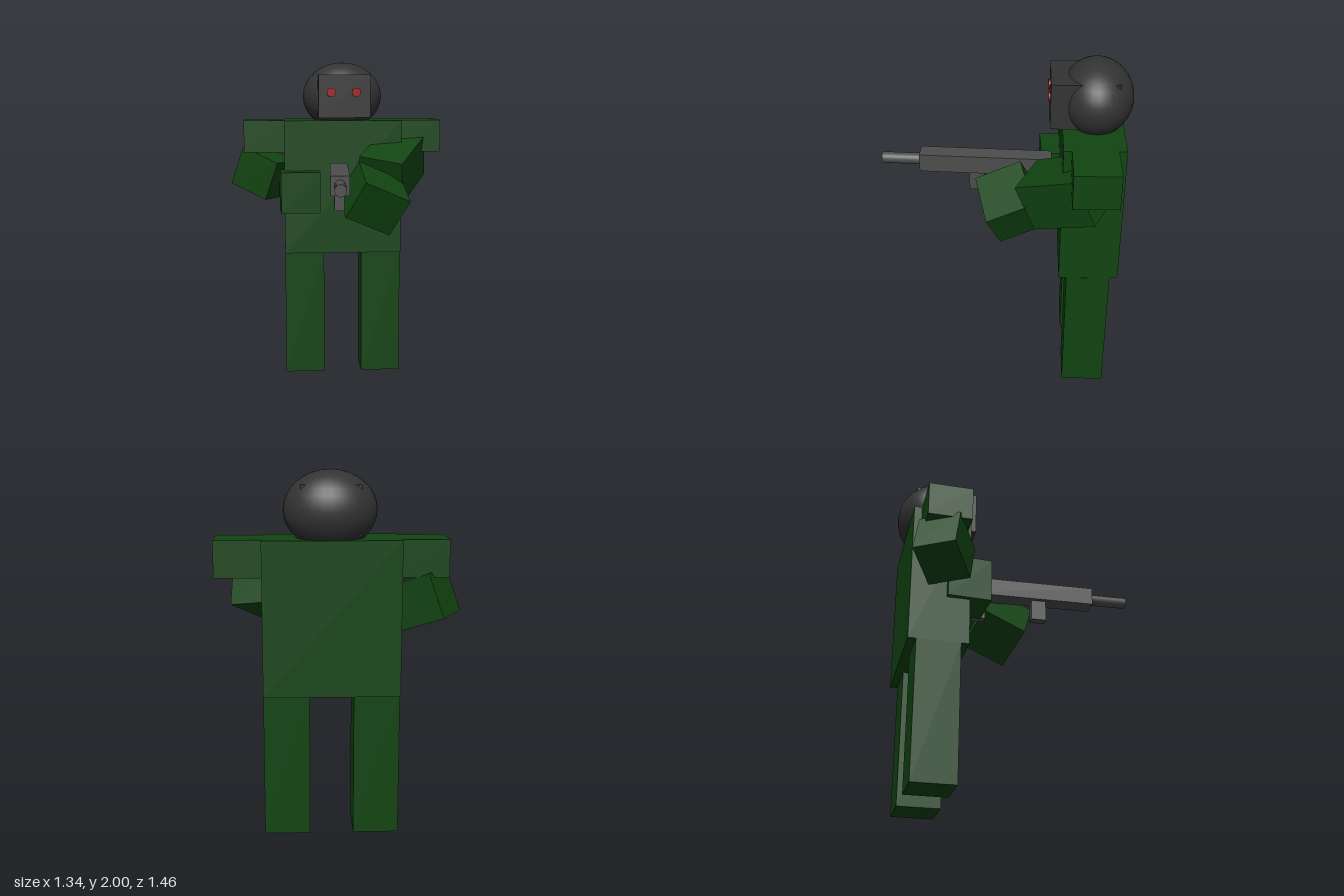
import * as THREE from 'three';

function mat(name, color) {
  const m = new THREE.MeshStandardMaterial({ color });
  m.name = name;
  return m;
}

export function createModel() {
  const green = mat('dark green', 0x114411);
  const black = mat('charcoal', 0x333333);
  const grey = mat('gun grey', 0x4d4d4d);
  const red = mat('eye red', 0x990f0f);

  const model = new THREE.Group();
  model.name = 'armedFigure';

  function add(parent, name, geometry, material, x, y, z) {
    const mesh = new THREE.Mesh(geometry, material);
    mesh.name = name;
    mesh.position.set(x, y, z);
    parent.add(mesh);
    return mesh;
  }
  function box(parent, name, [w, h, d], material, x, y, z) {
    return add(parent, name, new THREE.BoxGeometry(w, h, d), material, x, y, z);
  }
  // Turn a box so its length follows `forward` and its top faces `up`
  function aim(mesh, forward, up) {
    const z = new THREE.Vector3(...forward).normalize();
    const x = new THREE.Vector3(...up).cross(z).normalize();
    const y = z.clone().cross(x);
    mesh.quaternion.setFromRotationMatrix(new THREE.Matrix4().makeBasis(x, y, z));
  }

  // Body, slightly turned to its right
  const body = new THREE.Group();
  body.name = 'body';
  body.position.set(0.0375, 0, -0.478);
  body.rotation.y = -0.088;
  model.add(body);

  box(body, 'torso', [0.738, 0.84, 0.34], green, 0, 1.22, 0);
  for (const [side, s] of [['left', 1], ['right', -1]]) {
    box(body, side + 'Leg', [0.25, 0.8, 0.25], green, s * 0.245, 0.4, 0);
    box(body, side + 'Shoulder', [0.28, 0.2, 0.25], green, s * 0.481, 1.54, 0);
  }

  // Head with a boxy mask and round eyes
  const head = new THREE.Group();
  head.name = 'head';
  head.position.set(0.005, 1.788, -0.015);
  body.add(head);
  const skull = add(head, 'skull', new THREE.SphereGeometry(1, 32, 16), black, 0, 0, 0);
  skull.scale.set(0.251, 0.212, 0.206);
  box(head, 'mask', [0.32, 0.263, 0.37], black, -0.001, 0.004, 0.07);
  for (const s of [1, -1]) {
    const eye = add(head, s > 0 ? 'leftEye' : 'rightEye',
      new THREE.CylinderGeometry(0.028, 0.028, 0.02, 20), red, -0.005 + s * 0.077, 0.027, 0.256);
    eye.rotation.x = Math.PI / 2;
  }

  // Left arm reaching forward under the gun
  aim(box(model, 'leftForearm', [0.28, 0.285, 0.4], green, 0.34, 1.353, -0.302),
    [-0.53, -0.379, 0.758], [-0.1, 0.9, 0.4]);
  aim(box(model, 'leftHand', [0.305, 0.255, 0.28], green, 0.165, 1.187, -0.01),
    [0, -0.37, 0.93], [0.43, 0.84, 0.335]);

  // Right arm folded in towards the grip
  aim(box(model, 'rightForearm', [0.246, 0.25, 0.27], green, -0.459, 1.304, -0.529),
    [0.763, -0.349, 0.546], [0.08, 0.233, 0.05]);
  box(model, 'rightHand', [0.243, 0.255, 0.25], green, -0.25, 1.2, -0.345).rotation.y = -0.045;

  // Gun
  const gun = new THREE.Group();
  gun.name = 'gun';
  gun.position.set(-0.067, 1.327, 0.12);
  gun.rotation.y = -0.136;
  model.add(gun);
  box(gun, 'receiver', [0.107, 0.108, 0.77], grey, 0, 0, 0);
  const barrel = add(gun, 'barrel', new THREE.CylinderGeometry(0.033, 0.033, 0.25, 24), grey, 0, 0, 0.485);
  barrel.rotation.x = Math.PI / 2;
  box(gun, 'magazine', [0.055, 0.14, 0.09], grey, 0, -0.11, 0.05);
  box(gun, 'grip', [0.055, 0.17, 0.08], grey, 0, -0.12, -0.32);

  return model;
}
